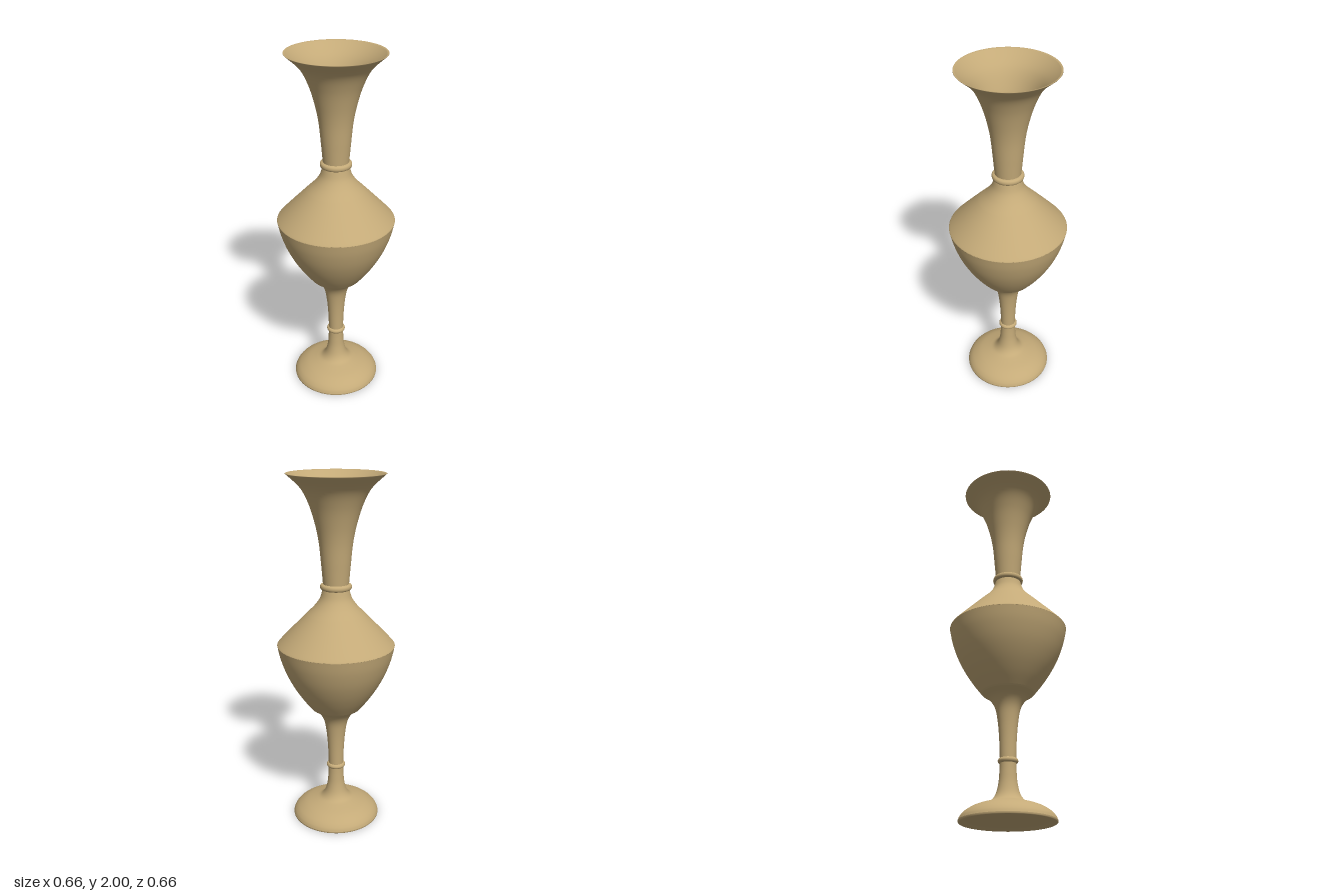
import * as THREE from 'three';

const SEGMENTS = 96;

// Smooth profile through a few [radius, height] points
function curve(points, divisions = 24) {
  const spline = new THREE.SplineCurve(points.map(([r, y]) => new THREE.Vector2(r, y)));
  return spline.getPoints(divisions).map((p) => new THREE.Vector2(Math.max(p.x, 0), p.y));
}

const line = (points) => points.map(([r, y]) => new THREE.Vector2(r, y));

export function createModel() {
  const group = new THREE.Group();
  const brass = new THREE.MeshStandardMaterial({ color: 0xc4aa78, side: THREE.DoubleSide });
  brass.name = 'antique tan';

  // Each part is its own lathe, so the seams between parts stay crisp
  function turn(name, profile) {
    const mesh = new THREE.Mesh(new THREE.LatheGeometry(profile, SEGMENTS), brass);
    mesh.name = name;
    group.add(mesh);
  }

  // Small rounded moulding around the vase
  function collar(name, inner, outer, y, half) {
    turn(name, curve([
      [inner, y - half], [outer - 0.004, y - half * 0.7], [outer, y],
      [outer - 0.004, y + half * 0.7], [inner, y + half],
    ], 16));
  }

  // Foot: recessed underside, thin rim and domed top
  turn('footUnderside', line([[0, 0.025], [0.157, 0.025]]));
  turn('footRecess', curve([[0.157, 0.025], [0.205, 0.015], [0.25, 0]], 8));
  turn('footRim', line([[0.25, 0], [0.253, 0.003], [0.253, 0.01]]));
  turn('footDome', curve([
    [0.253, 0.01], [0.244, 0.03], [0.222, 0.053], [0.18, 0.078], [0.122, 0.098],
  ]));

  // Stem with its ring
  turn('lowerStem', curve([
    [0.122, 0.098], [0.088, 0.112], [0.064, 0.145], [0.05, 0.2], [0.045, 0.26], [0.044, 0.305],
  ]));
  collar('stemRing', 0.043, 0.054, 0.318, 0.014);
  turn('upperStem', curve([
    [0.043, 0.33], [0.047, 0.44], [0.056, 0.54], [0.07, 0.61], [0.1, 0.66], [0.14, 0.69],
  ]));
  turn('stemLip', line([[0.14, 0.69], [0.147, 0.697]]));

  // Body
  turn('bowl', curve([
    [0.147, 0.697], [0.195, 0.76], [0.243, 0.835], [0.283, 0.915], [0.312, 0.998], [0.328, 1.07],
  ]));
  turn('shoulder', curve([[0.328, 1.07], [0.32, 1.083], [0.25, 1.157], [0.163, 1.247]]));
  turn('upperShoulder', curve([
    [0.163, 1.247], [0.118, 1.293], [0.088, 1.337], [0.073, 1.386],
  ]));

  // Neck and flared mouth
  collar('neckCollar', 0.071, 0.087, 1.4, 0.017);
  turn('neck', curve([
    [0.071, 1.415], [0.08, 1.52], [0.092, 1.64], [0.112, 1.74], [0.143, 1.84],
    [0.187, 1.925], [0.258, 1.993],
  ], 40));
  turn('mouthLip', line([[0.258, 1.993], [0.264, 1.998], [0.263, 2], [0.255, 1.997]]));

  return group;
}
